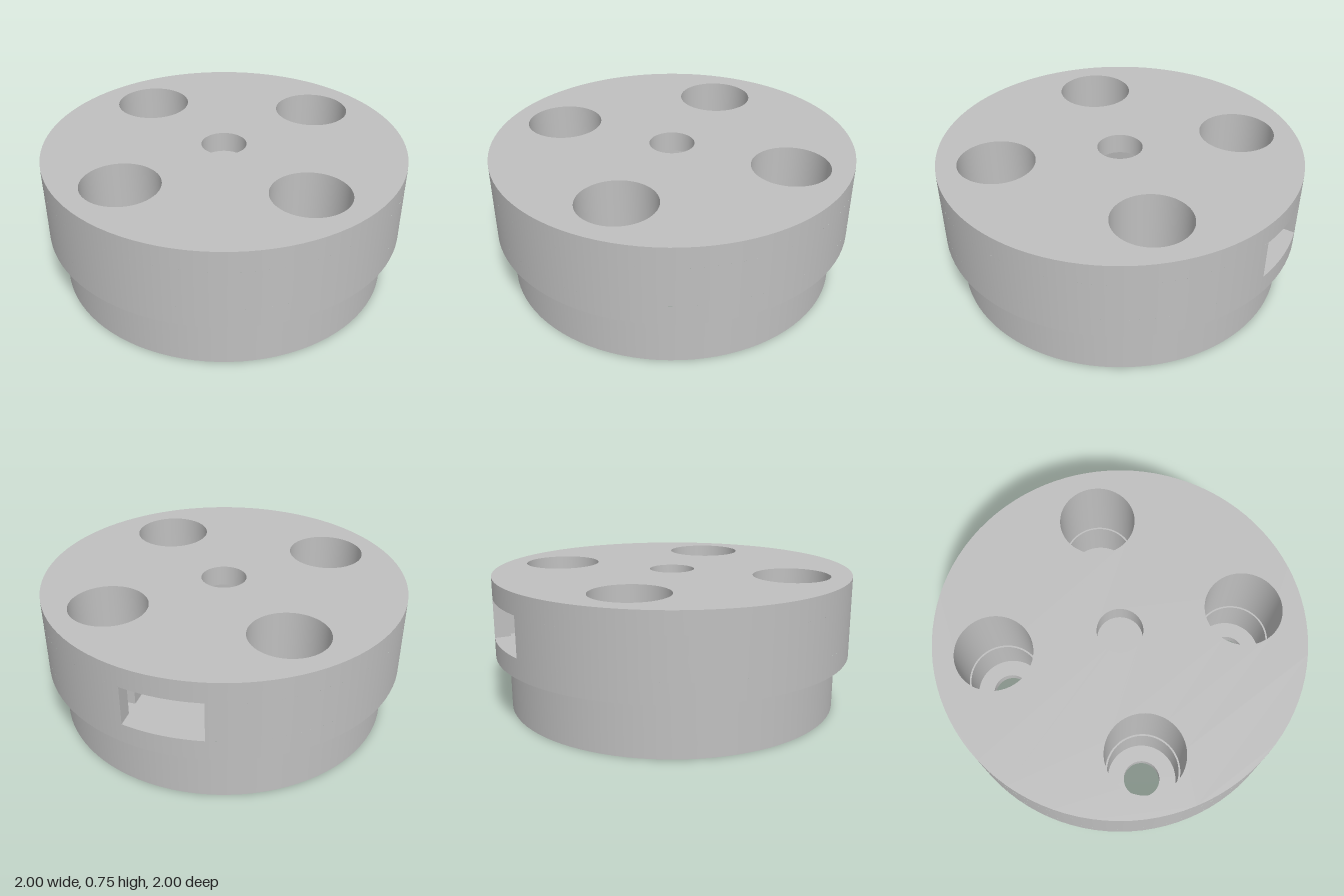
import * as THREE from 'three';

const SEG = 96;
const TOP = 0.745, STEP = 0.3;            // top face, shoulder between the two discs
const SLOT_Y0 = 0.41, SLOT_Y1 = 0.63;     // cable slot floor and ceiling
const SLOT_W = 0.21;                      // half width of the slot
const R = 1, R_LOW = 0.925, R_CENTRE = 0.125, R_SCREW = 0.105;
const HOLE = 0.48;                        // screw hole offset on both axes
const corners = [[HOLE, HOLE], [-HOLE, HOLE], [-HOLE, -HOLE], [HOLE, -HOLE]];

export function createModel() {
  const grey = new THREE.MeshStandardMaterial({ color: 0xbfbfbf });
  grey.name = 'light grey';
  const model = new THREE.Group();
  model.name = 'roundHousing';

  const add = (parent, name, geometry) => {
    const mesh = new THREE.Mesh(geometry, grey);
    mesh.name = name;
    parent.add(mesh);
    return mesh;
  };
  const group = (name) => {
    const g = new THREE.Group();
    g.name = name;
    model.add(g);
    return g;
  };
  // Surface of revolution between two profile points; a rising profile faces out, a falling one in
  const ring = (r0, y0, r1, y1, start = 0, length = Math.PI * 2) =>
    new THREE.LatheGeometry([new THREE.Vector2(r0, y0), new THREE.Vector2(r1, y1)], SEG, start, length);
  const circle = (x, z, r) => new THREE.Path().absarc(x, z, r, 0, Math.PI * 2, false);
  // Flat horizontal face from a shape
  const plate = (shape, y, up) => new THREE.ShapeGeometry(shape, SEG / 2)
    .rotateX(up ? -Math.PI / 2 : Math.PI / 2).translate(0, y, 0);
  const disc = (r, holes) => {
    const s = new THREE.Shape().absarc(0, 0, r, 0, Math.PI * 2, false);
    s.holes.push(...holes);
    return s;
  };

  // Lower disc
  const base = group('base');
  add(base, 'baseSide', ring(R_LOW, 0, R_LOW, STEP));
  add(base, 'baseBottom', plate(disc(R_LOW, corners.map(([x, z]) => circle(x, z, R_SCREW))), 0, false));

  // Upper disc, its middle band open at the back for the slot
  const cap = group('cap');
  const gap = Math.asin(SLOT_W / R);
  add(cap, 'shoulder', ring(R_LOW, STEP, R, STEP));
  add(cap, 'lowerBand', ring(R, STEP, R, SLOT_Y0));
  add(cap, 'slottedBand', ring(R, SLOT_Y0, R, SLOT_Y1, Math.PI + gap, 2 * (Math.PI - gap)));
  add(cap, 'upperBand', ring(R, SLOT_Y1, R, TOP));
  add(cap, 'capTop', plate(disc(R, [circle(0, 0, R_CENTRE),
    ...corners.map(([x, z]) => circle(x, z, 0.21))]), TOP, true));

  // Counterbored screw holes
  const bore = [[0.21, TOP], [0.21, STEP], [0.2, STEP], [0.2, 0.055], [R_SCREW, 0.055], [R_SCREW, 0]];
  corners.forEach(([x, z]) => {
    const hole = group('screwHole');
    hole.position.set(x, 0, z);
    for (let i = 0; i < bore.length - 1; i++) {
      add(hole, 'boreStep', ring(...bore[i], ...bore[i + 1]));
    }
  });

  // Centre hole opening into the slot
  add(model, 'centreHole', ring(R_CENTRE, TOP, R_CENTRE, SLOT_Y1));

  // Cable slot outline (x, z) with a small groove in each side wall
  const slot = group('cableSlot');
  const mouth = -Math.cos(gap) * R;
  const half = [[SLOT_W, mouth], [SLOT_W, -0.89], [0.26, -0.89], [0.26, -0.81], [SLOT_W, -0.81], [SLOT_W, 0.21]];
  const outline = [...half, ...half.map(([x, z]) => [-x, z]).reverse()];

  const walls = [];
  for (let i = 0; i < outline.length - 1; i++) {
    const [ax, az] = outline[i], [bx, bz] = outline[i + 1];
    const a = [ax, SLOT_Y0, az], b = [bx, SLOT_Y0, bz];
    const c = [bx, SLOT_Y1, bz], d = [ax, SLOT_Y1, az];
    walls.push(...a, ...b, ...c, ...a, ...c, ...d);
  }
  const wallGeometry = new THREE.BufferGeometry();
  wallGeometry.setAttribute('position', new THREE.Float32BufferAttribute(walls, 3));
  wallGeometry.computeVertexNormals();
  add(slot, 'slotWalls', wallGeometry);

  const slotShape = (sign) => {
    const pts = outline.map(([x, z]) => new THREE.Vector2(x, z * sign));
    for (let i = 1; i < 12; i++) {
      const t = -gap + (2 * gap * i) / 12;
      pts.push(new THREE.Vector2(R * Math.sin(t), -R * Math.cos(t) * sign));
    }
    return new THREE.Shape(pts);
  };
  add(slot, 'slotFloor', plate(slotShape(-1), SLOT_Y0, true));
  const ceiling = slotShape(1);
  ceiling.holes.push(circle(0, 0, R_CENTRE));
  add(slot, 'slotCeiling', plate(ceiling, SLOT_Y1, false));

  return model;
}
